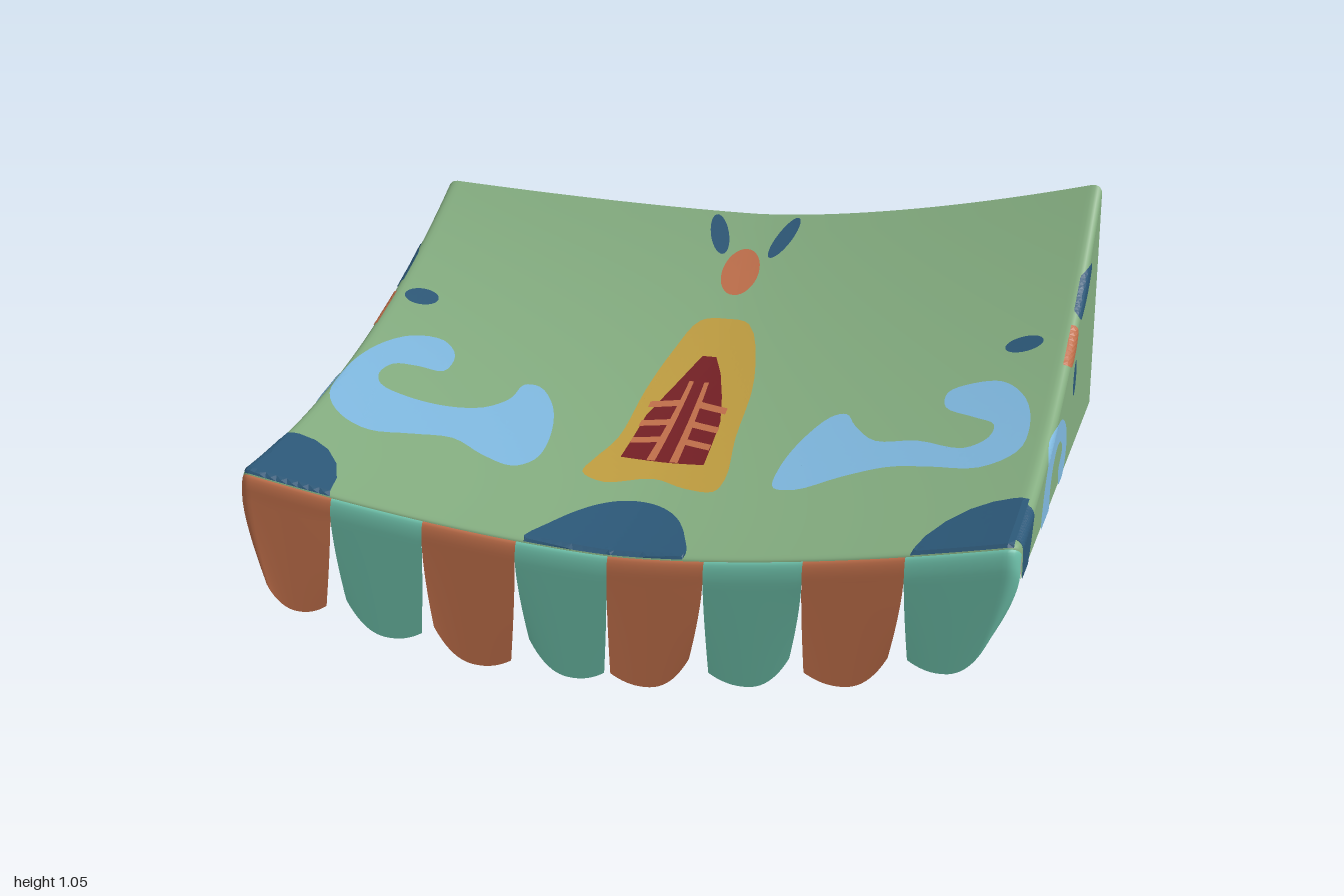
import * as THREE from 'three';

const colour = (name, hex) => {
  const m = new THREE.MeshStandardMaterial({ color: hex, side: THREE.DoubleSide });
  m.name = name;
  return m;
};

const FRONT = 0.672, BACK = -0.712, EDGE = 0.03, LIP = 0.013, THICK = 0.004;

// quarter-round drop at distance d from an edge
const drop = (d, r) => (d >= r ? 0 : r - Math.sqrt(Math.max(0, r * r - (r - d) ** 2)));

// front edge of the cloth, rounded at the corners
const frontZ = (x) => FRONT - drop(1 - Math.abs(x), EDGE);

// sagging cloth height
function clothY(x, z) {
  const s = (0.68 - z) / 1.395;
  const middle = 0.345 + 0.08 * s + 0.39 * s * s + 0.09 * s ** 3;
  const lift = x > 0 ? 0.137 + 0.015 * s : 0.115 - 0.07 * s ** 3;
  return middle + lift * Math.abs(x) ** 1.6 - drop(1 - Math.abs(x), EDGE) - 0.5 * drop(frontZ(x) - z, 0.02);
}

// lower edge of each side panel
const hemY = (side, z) => {
  const t = (FRONT - z) / (FRONT - BACK);
  return side > 0 ? 0.383 + 0.025 * t : 0.36 - 0.015 * t;
};

// grid surface from a function of (u, v)
function sheet(nu, nv, fn, flip) {
  const pos = [], idx = [];
  for (let j = 0; j <= nv; j++)
    for (let i = 0; i <= nu; i++) pos.push(...fn(i / nu, j / nv));
  for (let j = 0; j < nv; j++)
    for (let i = 0; i < nu; i++) {
      const a = j * (nu + 1) + i, b = a + 1, c = a + nu + 1, d = c + 1;
      if (flip) idx.push(a, c, b, b, c, d);
      else idx.push(a, b, c, b, d, c);
    }
  const g = new THREE.BufferGeometry();
  g.setAttribute('position', new THREE.Float32BufferAttribute(pos, 3));
  g.setIndex(idx);
  g.computeVertexNormals();
  return g;
}

// flat outline, cut into small triangles and laid on a surface
function drape(shape, place, flip, maxEdge) {
  const flat = new THREE.ShapeGeometry(shape, 16).toNonIndexed().attributes.position;
  const out = [];
  const split = (a, b, c) => {
    const ab = a.distanceTo(b), bc = b.distanceTo(c), ca = c.distanceTo(a);
    const m = Math.max(ab, bc, ca);
    if (m < maxEdge) {
      for (const p of flip ? [a, c, b] : [a, b, c]) out.push(...place(p.x, p.y));
    } else if (m === ab) {
      const h = a.clone().lerp(b, 0.5);
      split(a, h, c); split(h, b, c);
    } else if (m === bc) {
      const h = b.clone().lerp(c, 0.5);
      split(a, b, h); split(a, h, c);
    } else {
      const h = c.clone().lerp(a, 0.5);
      split(a, b, h); split(h, b, c);
    }
  };
  const pt = (i) => new THREE.Vector2(flat.getX(i), flat.getY(i));
  for (let i = 0; i < flat.count; i += 3) split(pt(i), pt(i + 1), pt(i + 2));
  const g = new THREE.BufferGeometry();
  g.setAttribute('position', new THREE.Float32BufferAttribute(out, 3));
  g.computeVertexNormals();
  return g;
}

const polygon = (list) => new THREE.Shape(list.map(([x, y]) => new THREE.Vector2(x, y)));
const smooth = (list) => {
  const curve = new THREE.CatmullRomCurve3(list.map(([x, y]) => new THREE.Vector3(x, y, 0)), true);
  return polygon(curve.getPoints(list.length * 4).slice(0, -1).map((p) => [p.x, p.y]));
};
const oval = (x, y, rx, ry, turn = 0) =>
  new THREE.Shape().absellipse(x, y, rx, ry, 0, Math.PI * 2, false, turn);

export function createModel() {
  const model = new THREE.Group();
  model.name = 'awning';
  const green = colour('sage green', 0x84ad80), lining = colour('mauve grey lining', 0xaba0a8);
  const teal = colour('teal', 0x6fc3ac), rust = colour('rust', 0xc06f4a);
  const navy = colour('navy', 0x2c5878), sky = colour('sky blue', 0x7fb8df);
  const gold = colour('gold', 0xbf9d40), wine = colour('dark red', 0x741f24);
  const add = (name, geometry, material) => {
    const mesh = new THREE.Mesh(geometry, material);
    mesh.name = name;
    model.add(mesh);
  };

  // canopy cloth with lining underneath
  const canopy = (gap) => (u, v) => {
    const x = Math.sin((u - 0.5) * Math.PI);
    const z = BACK + Math.sin(v * Math.PI / 2) * (frontZ(x) - BACK);
    return [x * (1 - gap), clothY(x, z) - gap, z];
  };
  add('canopyTop', sheet(64, 48, canopy(0), true), green);
  add('canopyLining', sheet(64, 48, canopy(THICK), false), lining);

  // side panels
  for (const side of [1, -1]) {
    const panel = (gap) => (u, v) => {
      const z = BACK + Math.sin(u * Math.PI / 2) * (frontZ(1) - BACK);
      return [side * (1 - gap), THREE.MathUtils.lerp(hemY(side, z), clothY(side, z), v), z];
    };
    const label = side > 0 ? 'left' : 'right';
    add(label + 'Panel', sheet(48, 4, panel(0), side > 0), green);
    add(label + 'PanelLining', sheet(48, 4, panel(THICK), side < 0), lining);
  }

  // scalloped valance, eight flaps rolling over the front edge
  const seams = [-1, -0.74, -0.49, -0.24, 0, 0.245, 0.49, 0.735, 1];
  const tips = [0.1, 0.045, 0.01, 0, 0.012, 0.035, 0.08, 0.135];
  const sway = [0.024, -0.005, 0.012, -0.008, 0.014, -0.012, 0.012, -0.012];
  tips.forEach((tip, i) => {
    const x0 = seams[i], x1 = seams[i + 1], outward = i < 4 ? -1 : 1;
    const end = i === 0 || i === 7;
    const flap = (u, v) => {
      // t runs from the inner edge to the outer one, closer spaced at the end corners
      const t0 = outward > 0 ? u : 1 - u, t = end ? Math.sin(t0 * Math.PI / 2) : t0;
      const xTop = outward > 0 ? x0 + (x1 - x0) * t : x1 - (x1 - x0) * t;
      const roll = Math.min(1, v / 0.3), fall = Math.max(0, (v - 0.3) / 0.7);
      const inset = (end ? 0.065 : 0.03) * t - 0.012 * (1 - t);
      const x = xTop - outward * inset * fall ** 1.5;
      const bottom = tip + (t < 0.4 ? 0.025 * ((0.4 - t) / 0.4) ** 2 : 0.09 * ((t - 0.4) / 0.6) ** 2.5);
      const a = roll * Math.PI / 2, z = frontZ(xTop), top = clothY(xTop, z);
      const y = THREE.MathUtils.lerp(top - 0.05 * (1 - Math.cos(a)), bottom, fall);
      return [x, y, z + LIP * Math.sin(a) + sway[i] * fall];
    };
    add('valanceFlap' + (i + 1), sheet(20, 20, flap, true), i % 2 ? teal : rust);
  });

  // painted motifs on the canopy, outlines in x and z
  const paintTop = (name, shape, material, lift = 0.004) => add(name, drape(shape, (x, z) => {
    const cx = THREE.MathUtils.clamp(x, -0.985, 0.985), cz = Math.min(z, frontZ(cx));
    return [cx, clothY(cx, cz) + lift, cz];
  }, true, 0.025), material);

  paintTop('rightSwirl', smooth([[-0.72, 0], [-0.715, -0.07], [-0.77, -0.12], [-0.865, -0.11], [-0.94, -0.04],
    [-0.98, 0.08], [-0.97, 0.21], [-0.9, 0.29], [-0.8, 0.325], [-0.69, 0.295], [-0.58, 0.27], [-0.475, 0.315],
    [-0.385, 0.335], [-0.34, 0.29], [-0.335, 0.19], [-0.375, 0.05], [-0.44, -0.02], [-0.485, -0.015], [-0.5, 0.05],
    [-0.555, 0.11], [-0.65, 0.14], [-0.77, 0.14], [-0.86, 0.115], [-0.885, 0.07], [-0.865, 0.02], [-0.8, 0.005]]), sky);
  paintTop('leftSwirl', smooth([[0.7, -0.01], [0.695, -0.07], [0.755, -0.095], [0.835, -0.09], [0.905, -0.015],
    [0.935, 0.105], [0.92, 0.21], [0.835, 0.265], [0.7, 0.24], [0.595, 0.23], [0.485, 0.265], [0.38, 0.32],
    [0.32, 0.31], [0.31, 0.23], [0.335, 0.105], [0.395, 0], [0.435, -0.01], [0.47, 0.04], [0.54, 0.11],
    [0.65, 0.12], [0.78, 0.17], [0.835, 0.135], [0.84, 0.08], [0.78, 0.04]]), sky);

  // central emblem: gold field, red tower, rust joints
  paintTop('emblemField', smooth([[-0.075, -0.355], [0, -0.37], [0.07, -0.355], [0.14, -0.16], [0.155, 0.08], [0.18, 0.27],
    [0.165, 0.33], [0.085, 0.32], [-0.01, 0.285], [-0.13, 0.33], [-0.2, 0.3], [-0.19, 0.23], [-0.16, 0.13],
    [-0.15, -0.08], [-0.12, -0.24]]), gold, 0.003);
  paintTop('emblemTower', polygon([[-0.03, -0.23], [0.01, -0.23], [0.04, -0.17], [0.07, -0.08], [0.095, 0.02], [0.105, 0.21],
    [-0.125, 0.21], [-0.115, 0.02], [-0.085, -0.08], [-0.05, -0.18]]), wine, 0.005);
  for (const s of [-1, 1]) {
    const joint = (list) => paintTop('emblemJoint', polygon(list.map(([x, z]) => [s * x - 0.01, z])), rust, 0.007);
    joint([[0.015, -0.13], [0.028, -0.13], [0.043, 0.21], [0.02, 0.21]]);
    for (const z of [-0.03, 0.05, 0.125]) joint([[0.025, z - 0.025], [0.11, z - 0.003], [0.11, z + 0.022], [0.025, z]]);
  }
  paintTop('emblemDot', oval(-0.005, -0.525, 0.055, 0.075), rust);
  paintTop('emblemLeafRight', oval(-0.1, -0.638, 0.026, 0.065, -0.45), navy);
  paintTop('emblemLeafLeft', oval(0.097, -0.637, 0.024, 0.068, 0.45), navy);
  paintTop('rightSpot', oval(-0.902, -0.268, 0.052, 0.031), navy);
  paintTop('leftSpot', oval(0.868, -0.222, 0.05, 0.028, -0.1), navy);

  // front arches
  paintTop('frontArch', smooth([[-0.22, 0.68], [-0.19, 0.57], [-0.13, 0.465], [-0.07, 0.415], [-0.01, 0.4],
    [0.05, 0.415], [0.11, 0.465], [0.165, 0.57], [0.19, 0.68], [0, 0.69]]), navy);
  for (const s of [-1, 1]) paintTop('cornerArch', polygon([[0.745, 0.68], [0.765, 0.59], [0.8, 0.52], [0.85, 0.465],
    [0.9, 0.438], [0.95, 0.43], [0.985, 0.435], [0.985, 0.68]].map(([x, z]) => [s * x, z])), navy);

  // painted motifs on the side panels, outlines in z and y, wrapping over the rounded top edge
  for (const side of [1, -1]) {
    const paintSide = (name, shape, material) => add(name, drape(shape, (z, y) => {
      const cz = Math.min(z, frontZ(1)), low = hemY(1, cz), high = clothY(1, cz);
      const v = THREE.MathUtils.clamp((y - low) / (high - low), 0, 1);
      const over = THREE.MathUtils.clamp(y - high, 0, EDGE * 0.92), inward = Math.sqrt(EDGE ** 2 - over ** 2);
      const x = side * (1 - EDGE + inward);
      const base = over > 0 ? clothY(x, cz) : THREE.MathUtils.lerp(hemY(side, cz), clothY(side, cz), v);
      return [x + side * 0.003 * inward / EDGE, base + 0.003 * over / EDGE, cz];
    }, side > 0, 0.012), material);
    paintSide('sideCorner', polygon([[0.655, 0.38], [0.655, 0.5], [0.455, 0.53], [0.47, 0.475], [0.5, 0.43], [0.55, 0.38]]), navy);
    paintSide('sideSwirl', smooth([[0.325, 0.385], [0.29, 0.48], [0.195, 0.555], [0.08, 0.58], [-0.015, 0.57], [-0.11, 0.52],
      [-0.137, 0.465], [-0.1, 0.41], [-0.04, 0.393], [0.01, 0.405], [0.02, 0.445], [-0.015, 0.465], [-0.04, 0.485],
      [0.005, 0.517], [0.07, 0.52], [0.14, 0.49], [0.175, 0.445], [0.19, 0.385]]), sky);
    paintSide('sideDot', oval(-0.205, 0.718, 0.08, 0.042, -0.42), rust);
    paintSide('sideSpot', oval(-0.25, 0.615, 0.03, 0.048, 0.2), navy);
    paintSide('sideLeaf', oval(-0.42, 0.812, 0.118, 0.03, -0.44), navy);
  }
  return model;
}
